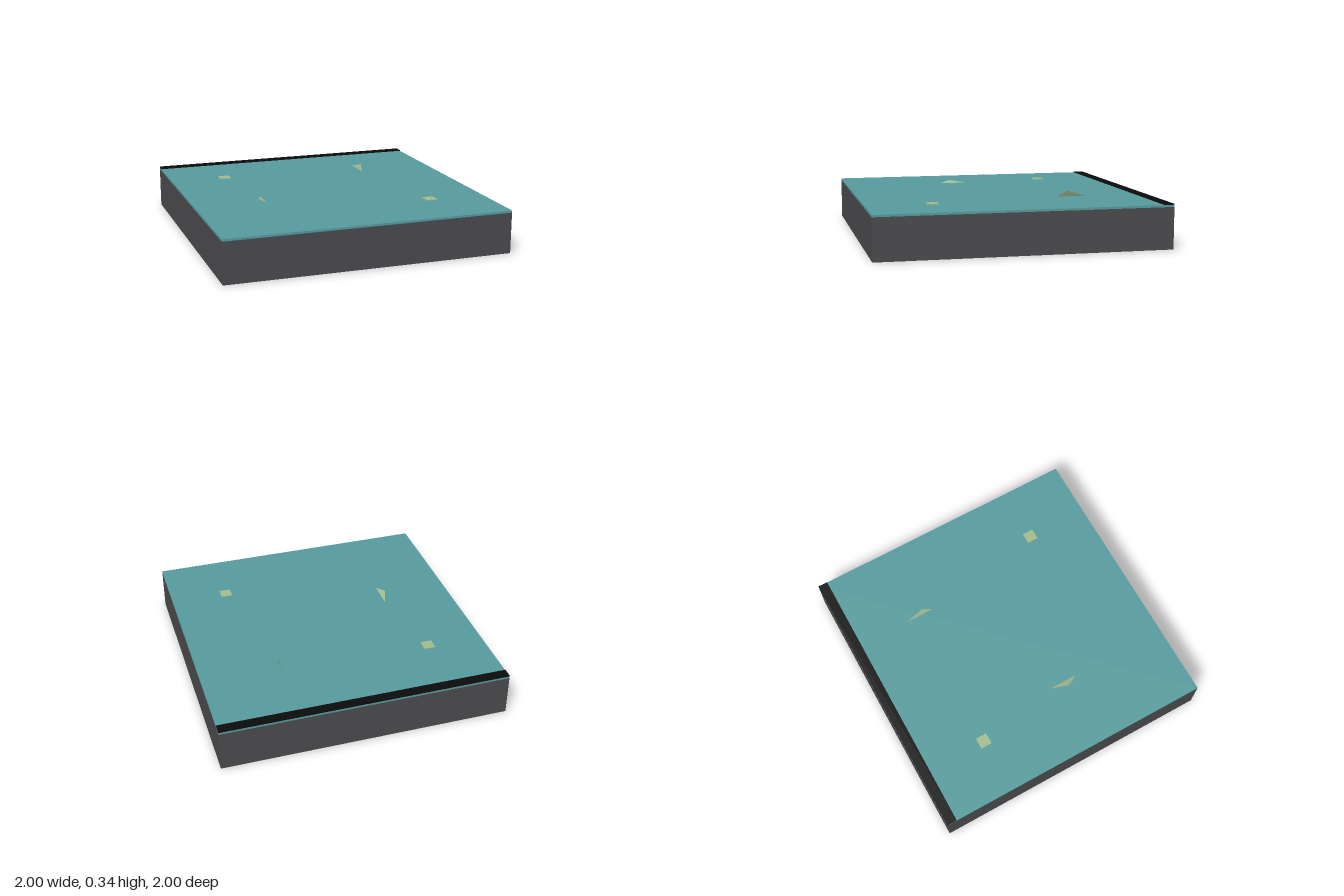
import * as THREE from 'three';

function mat(name, color, side = THREE.FrontSide) {
  const m = new THREE.MeshStandardMaterial({ color, side });
  m.name = name;
  return m;
}

export function createModel() {
  const group = new THREE.Group();
  const stone = mat('dark grey', 0x4a494d);
  const teal = mat('teal', 0x569a9d);
  const black = mat('black', 0x0b0b0b);
  const sage = mat('pale green', 0xa2ba8e, THREE.DoubleSide);

  // Box standing on height y0, reaching y1
  const slab = (name, material, w, d, y0, y1, x = 0, z = 0) => {
    const mesh = new THREE.Mesh(new THREE.BoxGeometry(w, y1 - y0, d), material);
    mesh.position.set(x, (y0 + y1) / 2, z);
    mesh.name = name;
    group.add(mesh);
  };

  // Ground block, surface layer and dark strip along the back edge
  slab('base', stone, 2, 2, 0, 0.285);
  slab('surface', teal, 2, 2, 0.285, 0.3);
  slab('backStrip', black, 2, 0.07, 0.3, 0.306, 0, -0.965);

  // Small square pads
  for (const [x, z] of [[-0.605, -0.505], [0.6, 0.55]]) slab('pad', sage, 0.08, 0.08, 0.3, 0.306, x, z);

  // Leaning triangular blades: two base corners and a tip
  const blades = [
    [0.44, 0.3, -0.35, 0.44, 0.3, -0.565, 0.46, 0.342, -0.43],
    [-0.5, 0.301, 0.09, -0.5, 0.301, 0.295, -0.545, 0.318, 0.215],
  ];
  for (const corners of blades) {
    const geometry = new THREE.BufferGeometry();
    geometry.setAttribute('position', new THREE.Float32BufferAttribute(corners, 3));
    geometry.computeVertexNormals();
    const blade = new THREE.Mesh(geometry, sage);
    blade.name = 'blade';
    group.add(blade);
  }
  return group;
}
